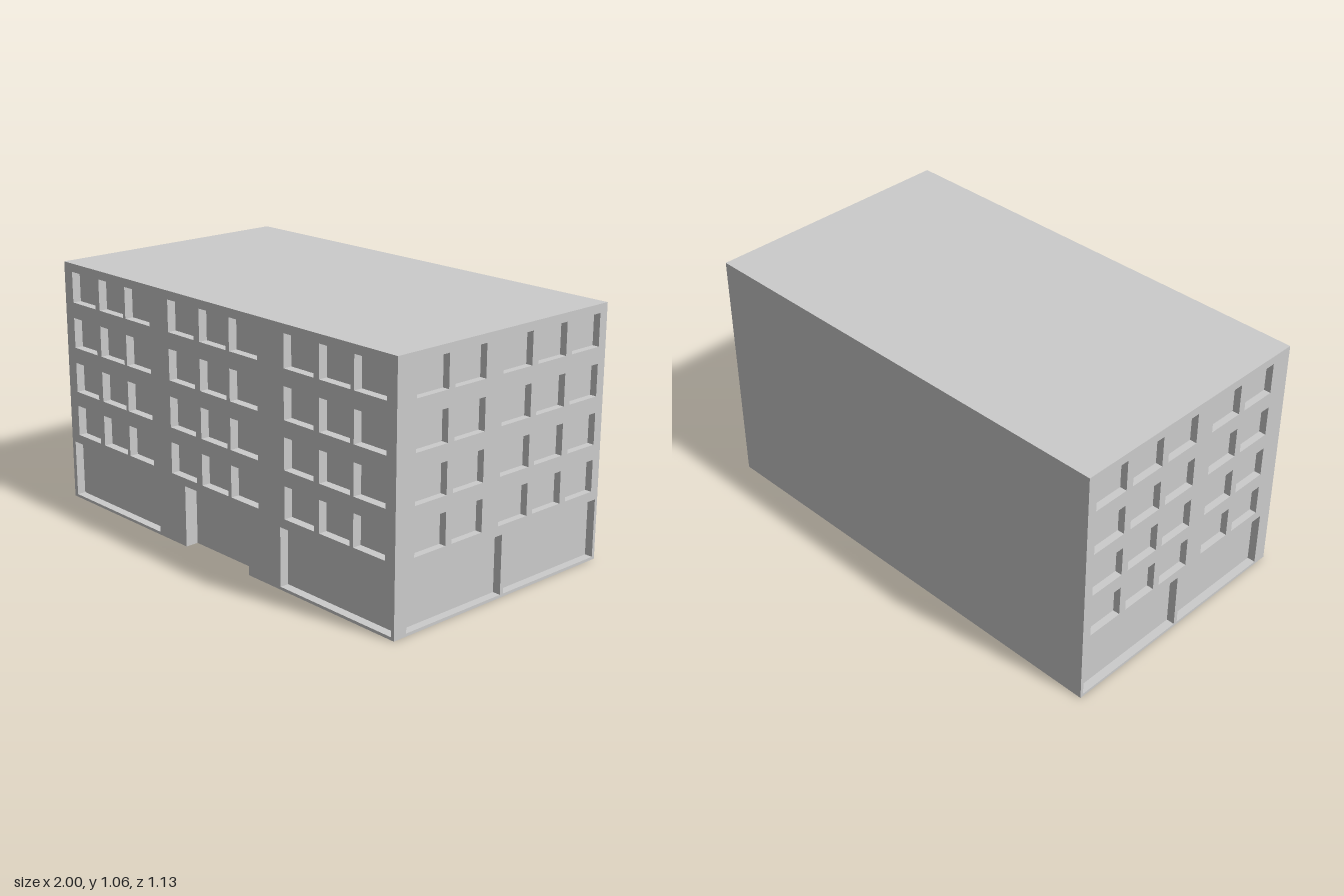
import * as THREE from 'three';
import { mergeGeometries } from 'three/addons/utils/BufferGeometryUtils.js';

const W = 1, D = 0.564, H = 1.057; // half width, half depth, height
const FLOORS = [[0.296, 0.429], [0.492, 0.622], [0.689, 0.82], [0.888, 1.021]];
const SHOP = [0.012, 0.257];
const DOOR = { u: [-0.2, 0.196], v: [0, 0.262], depth: 0.057, open: true };

const material = new THREE.MeshStandardMaterial({ color: 0xcccccc, flatShading: true });

function mesh(name, geometry) {
  const m = new THREE.Mesh(geometry, material);
  m.name = name;
  return m;
}

const polygon = (pts) => new THREE.Shape(pts.map(([x, y]) => new THREE.Vector2(x, y)));

// Inward-facing box without its front (and, for the doorway, without its floor)
function recess({ u, v, depth, open }) {
  const g = new THREE.BoxGeometry(u[1] - u[0], v[1] - v[0], depth);
  const faces = Array.from(g.index.array);
  faces.splice(24, 6);
  if (open) faces.splice(18, 6);
  g.setIndex(faces.reverse());
  const flat = g.toNonIndexed();
  flat.computeVertexNormals();
  return flat.translate((u[0] + u[1]) / 2, (v[0] + v[1]) / 2, -depth / 2);
}

// Wall skin facing +z with recessed windows, shop fronts and an optional doorway
function facade(name, half, windows, shops, door) {
  const group = new THREE.Group();
  group.name = name;
  const notch = door
    ? [[door.u[0], 0], [door.u[0], door.v[1]], [door.u[1], door.v[1]], [door.u[1], 0]]
    : [];
  const wall = polygon([[-half, 0], ...notch, [half, 0], [half, H], [-half, H]]);
  for (const { u, v } of [...windows, ...shops]) {
    wall.holes.push(new THREE.Path([
      new THREE.Vector2(u[0], v[0]), new THREE.Vector2(u[0], v[1]),
      new THREE.Vector2(u[1], v[1]), new THREE.Vector2(u[1], v[0]),
    ]));
  }
  group.add(mesh('wall', new THREE.ShapeGeometry(wall)));
  group.add(mesh('windowRecesses', mergeGeometries(windows.map(recess))));
  group.add(mesh('shopFrontRecesses', mergeGeometries(shops.map(recess))));
  if (door) group.add(mesh('doorway', recess(door)));
  return group;
}

// One opening per column and floor
const openings = (columns, rows, depth) =>
  rows.flatMap((v) => columns.map((u) => ({ u, v, depth })));

export function createModel() {
  const building = new THREE.Group();
  building.name = 'building';

  // Front: three groups of three windows, two shop fronts, central doorway
  const frontColumns = [
    [-0.945, -0.783], [-0.753, -0.587], [-0.571, -0.406],
    [-0.284, -0.12], [-0.086, 0.077], [0.096, 0.26],
    [0.411, 0.575], [0.604, 0.768], [0.786, 0.95],
  ];
  const front = facade('frontFacade', W,
    openings(frontColumns, FLOORS, 0.038),
    openings([[-0.979, -0.377], [0.385, 0.986]], [SHOP], 0.038), DOOR);
  front.position.z = D;
  building.add(front);

  // Sides: mirrored, columns given as z ranges
  const sideColumns = [
    [0.308, 0.468], [0.115, 0.275], [-0.136, 0.024], [-0.329, -0.169], [-0.523, -0.363],
  ];
  const sideShops = [[0, 0.502], [-0.55, -0.018]];
  for (const [name, s] of [['leftFacade', 1], ['rightFacade', -1]]) {
    const along = (list) => list.map(([a, b]) => (s > 0 ? [-b, -a] : [a, b]));
    const side = facade(name, D,
      openings(along(sideColumns), FLOORS, 0.03),
      openings(along(sideShops), [SHOP], 0.035));
    side.rotation.y = s * Math.PI / 2;
    side.position.x = s * W;
    building.add(side);
  }

  // Plain back wall and flat roof
  const back = mesh('backWall', new THREE.PlaneGeometry(2 * W, H));
  back.rotation.y = Math.PI;
  back.position.set(0, H / 2, -D);
  const roof = mesh('roof', new THREE.PlaneGeometry(2 * W, 2 * D));
  roof.rotation.x = -Math.PI / 2;
  roof.position.y = H;

  // Underside, notched at the doorway
  const inner = D - DOOR.depth;
  const base = mesh('base', new THREE.ShapeGeometry(polygon([
    [-W, -D], [W, -D], [W, D], [DOOR.u[1], D], [DOOR.u[1], inner],
    [DOOR.u[0], inner], [DOOR.u[0], D], [-W, D],
  ])));
  base.rotation.x = Math.PI / 2;

  building.add(back, roof, base);
  return building;
}
